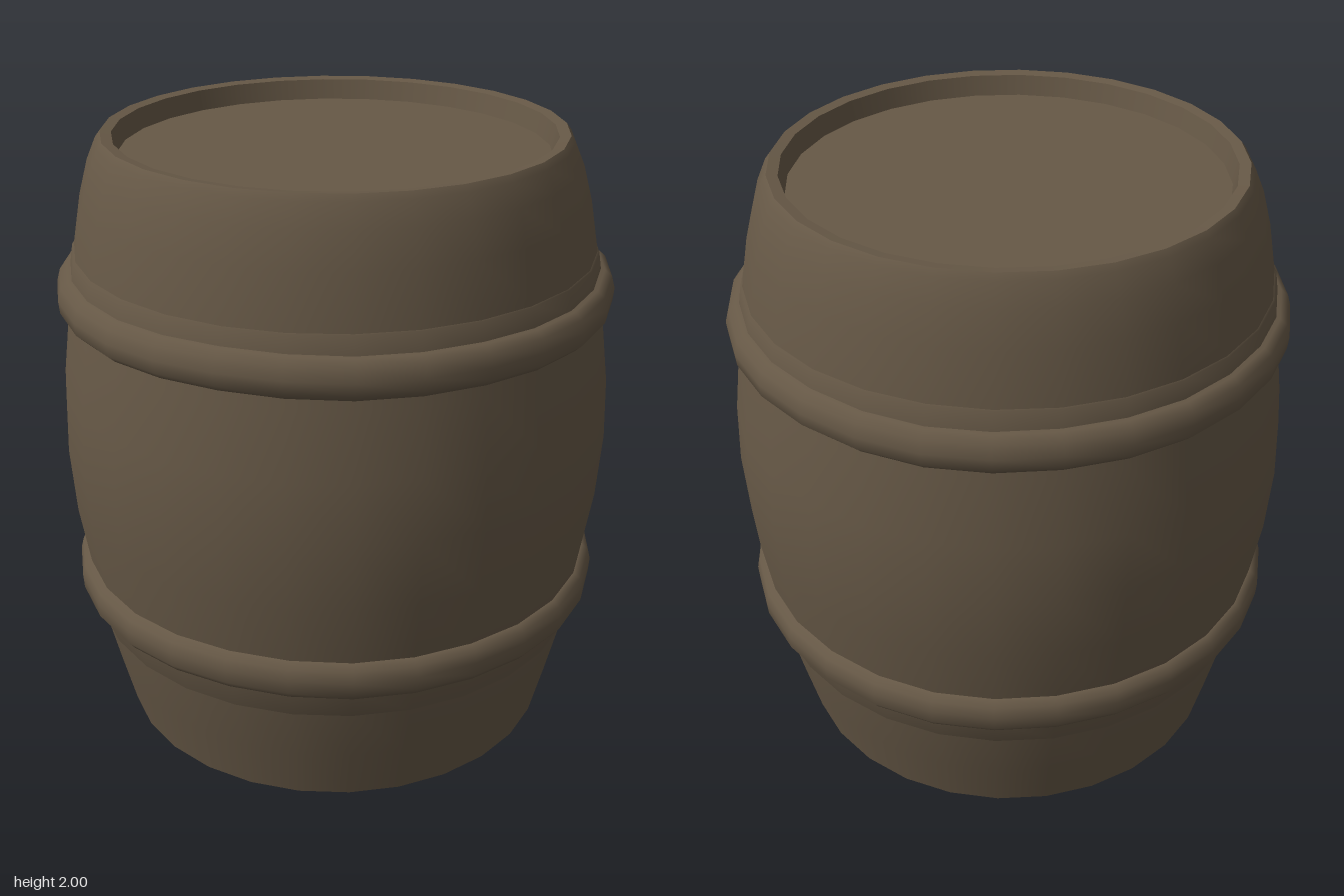
import * as THREE from 'three';

const SIDES = 28;

export function createModel() {
  const barrel = new THREE.Group();
  barrel.name = 'barrel';
  const wood = new THREE.MeshStandardMaterial({ color: 0x665846 });
  wood.name = 'weathered brown';

  // Revolve a profile of [radius, height] pairs, outer side running upward
  function turn(name, profile, wobble = 0) {
    const points = profile.map(([r, y]) => new THREE.Vector2(r, y));
    const geometry = new THREE.LatheGeometry(points, SIDES);
    const p = geometry.attributes.position;
    // Slightly uneven, hand-beaten height around the circumference
    for (let i = 0; i < p.count; i++) {
      const a = Math.atan2(p.getZ(i), p.getX(i));
      p.setY(i, p.getY(i) + wobble * (Math.sin(3 * a) + 0.6 * Math.cos(7 * a)));
    }
    const mesh = new THREE.Mesh(geometry, wood);
    mesh.name = name;
    barrel.add(mesh);
  }

  // Bulging staves
  turn('staves', [
    [0.73, 0], [0.775, 0.18], [0.82, 0.37], [0.85, 0.56], [0.885, 0.78], [0.9, 1],
    [0.893, 1.2], [0.865, 1.42], [0.84, 1.58], [0.832, 1.65], [0.805, 1.8],
    [0.775, 1.91], [0.745, 1.98], [0.73, 2],
  ]);

  // Rims and the recessed lids at both ends
  turn('topRim', [[0.73, 2], [0.695, 1.995]]);
  turn('topRimInside', [[0.695, 1.995], [0.68, 1.93]]);
  turn('topLid', [[0.68, 1.93], [0, 1.93]]);
  turn('bottomLid', [[0, 0.07], [0.68, 0.07]]);
  turn('bottomRimInside', [[0.68, 0.07], [0.695, 0.003]]);
  turn('bottomRim', [[0.695, 0.003], [0.73, 0]]);

  // Rounded hoops, each with a thin flat band on its outer end
  turn('lowerHoop', [
    [0.82, 0.455], [0.865, 0.46], [0.884, 0.485], [0.887, 0.53], [0.878, 0.565], [0.855, 0.582], [0.82, 0.585],
  ], 0.003);
  turn('upperHoop', [
    [0.83, 1.448], [0.868, 1.452], [0.892, 1.475], [0.896, 1.515], [0.885, 1.555], [0.862, 1.575], [0.82, 1.582],
  ], 0.003);
  turn('lowerBand', [[0.81, 0.367], [0.825, 0.369], [0.846, 0.465]]);
  turn('upperBand', [[0.851, 1.565], [0.84, 1.635], [0.82, 1.638]]);

  return barrel;
}
